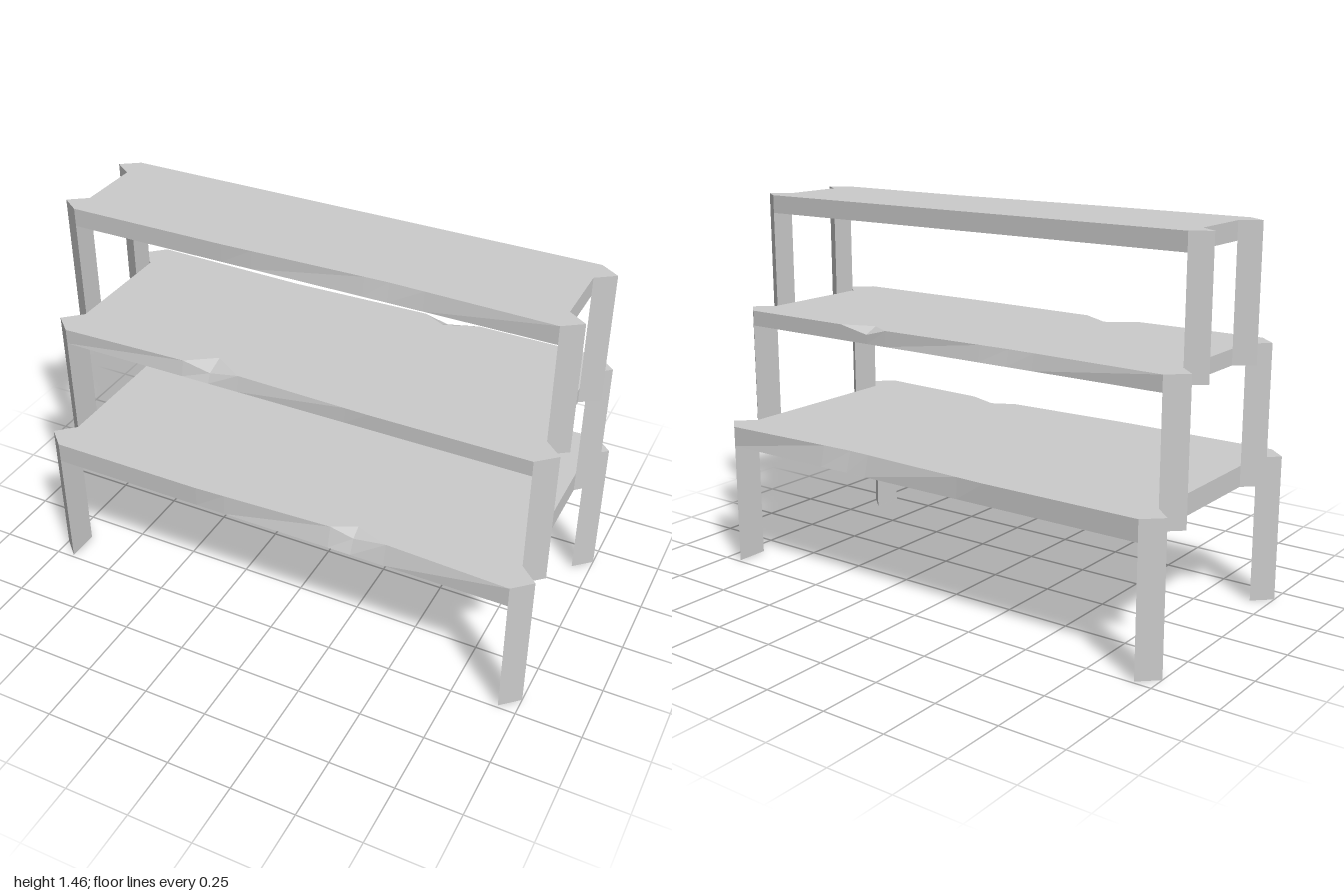
import * as THREE from 'three';

const material = new THREE.MeshStandardMaterial({ color: 0xcccccc, flatShading: true, side: THREE.DoubleSide });
const END = 0.93; // half length of the boards
const STATIONS = [-END, -0.42, -0.31, -0.19, 0.24, 0.33, 0.46, END];

// Worn top edge: inset grows linearly to a peak and falls back to zero
function bowAt(bow, x) {
  if (!bow) return 0;
  const { from, peak, to, depth } = bow;
  const t = x < peak ? (x - from) / (peak - from) : (to - x) / (to - peak);
  return depth * Math.max(0, t);
}

// Board lofted along x, with bowed edges and small chips in the top edge
function boardGeometry({ bottom, top, half, front, back }) {
  const edge = (x, side, s) => {
    const chipped = side.chip && side.chip.x === x;
    const z = half - bowAt(side.bow, x);
    return {
      outer: [x, top - (chipped ? side.chip.drop : 0), s * z],
      inner: [x, top, s * (chipped ? side.chip.reach : z)],
      base: [x, bottom, s * half],
    };
  };
  const rings = STATIONS.map((x) => {
    const f = edge(x, front, 1), b = edge(x, back, -1);
    return [f.base, f.outer, f.inner, b.inner, b.outer, b.base];
  });

  const positions = [];
  const same = (p, q) => p.every((v, i) => Math.abs(v - q[i]) < 1e-6);
  const tri = (a, b, c) => {
    if (!same(a, b) && !same(b, c) && !same(a, c)) positions.push(...a, ...b, ...c);
  };
  for (let j = 0; j < rings.length - 1; j++) {
    const r = rings[j], q = rings[j + 1];
    for (let i = 0; i < 6; i++) {
      const k = (i + 1) % 6;
      tri(r[i], q[i], q[k]);
      tri(r[i], q[k], r[k]);
    }
  }
  // End caps
  const first = rings[0], last = rings[rings.length - 1];
  for (let i = 1; i < 5; i++) {
    tri(first[0], first[i], first[i + 1]);
    tri(last[0], last[i + 1], last[i]);
  }
  const geometry = new THREE.BufferGeometry();
  geometry.setAttribute('position', new THREE.Float32BufferAttribute(positions, 3));
  geometry.computeVertexNormals();
  return geometry;
}

// Triangular post with its ridge pointing outward along x
function legGeometry(sx, width, height) {
  const shape = new THREE.Shape([
    new THREE.Vector2(sx * END, -width / 2),
    new THREE.Vector2(sx, 0),
    new THREE.Vector2(sx * END, width / 2),
  ]);
  return new THREE.ExtrudeGeometry(shape, { depth: height, bevelEnabled: false }).rotateX(-Math.PI / 2);
}

export function createModel() {
  const model = new THREE.Group();
  model.name = 'tieredShelf';

  const rightBow = (depth) => ({ from: -0.31, peak: 0.33, to: 0.93, depth });
  const leftBow = (depth) => ({ from: -0.93, peak: -0.31, to: 0.33, depth });

  const tiers = [
    {
      name: 'lower', foot: 0, bottom: 0.485, top: 0.565, half: 0.49, legWidth: 0.13,
      front: { bow: rightBow(0.027), chip: { x: 0.33, drop: 0.025, reach: 0.42 } },
      back: { bow: rightBow(0.025) },
    },
    {
      name: 'middle', foot: 0.485, bottom: 0.955, top: 1.015, half: 0.36, legWidth: 0.13,
      front: { bow: leftBow(0.017), chip: { x: -0.31, drop: 0.025, reach: 0.27 } },
      back: { bow: leftBow(0.017), chip: { x: 0.33, drop: 0.025, reach: 0.31 } },
    },
    {
      name: 'upper', foot: 0.955, bottom: 1.39, top: 1.46, half: 0.225, legWidth: 0.1,
      front: { bow: rightBow(0.015) },
      back: {},
    },
  ];

  for (const tier of tiers) {
    const group = new THREE.Group();
    group.name = `${tier.name}Tier`;

    const board = new THREE.Mesh(boardGeometry(tier), material);
    board.name = `${tier.name}Board`;
    group.add(board);

    // Four corner legs
    for (const sx of [1, -1]) {
      for (const sz of [1, -1]) {
        const leg = new THREE.Mesh(legGeometry(sx, tier.legWidth, tier.top - tier.foot), material);
        leg.name = `${tier.name}${sz > 0 ? 'Front' : 'Back'}${sx > 0 ? 'Left' : 'Right'}Leg`;
        leg.position.set(0, tier.foot, sz * (tier.half - tier.legWidth / 2));
        group.add(leg);
      }
    }
    model.add(group);
  }
  return model;
}
